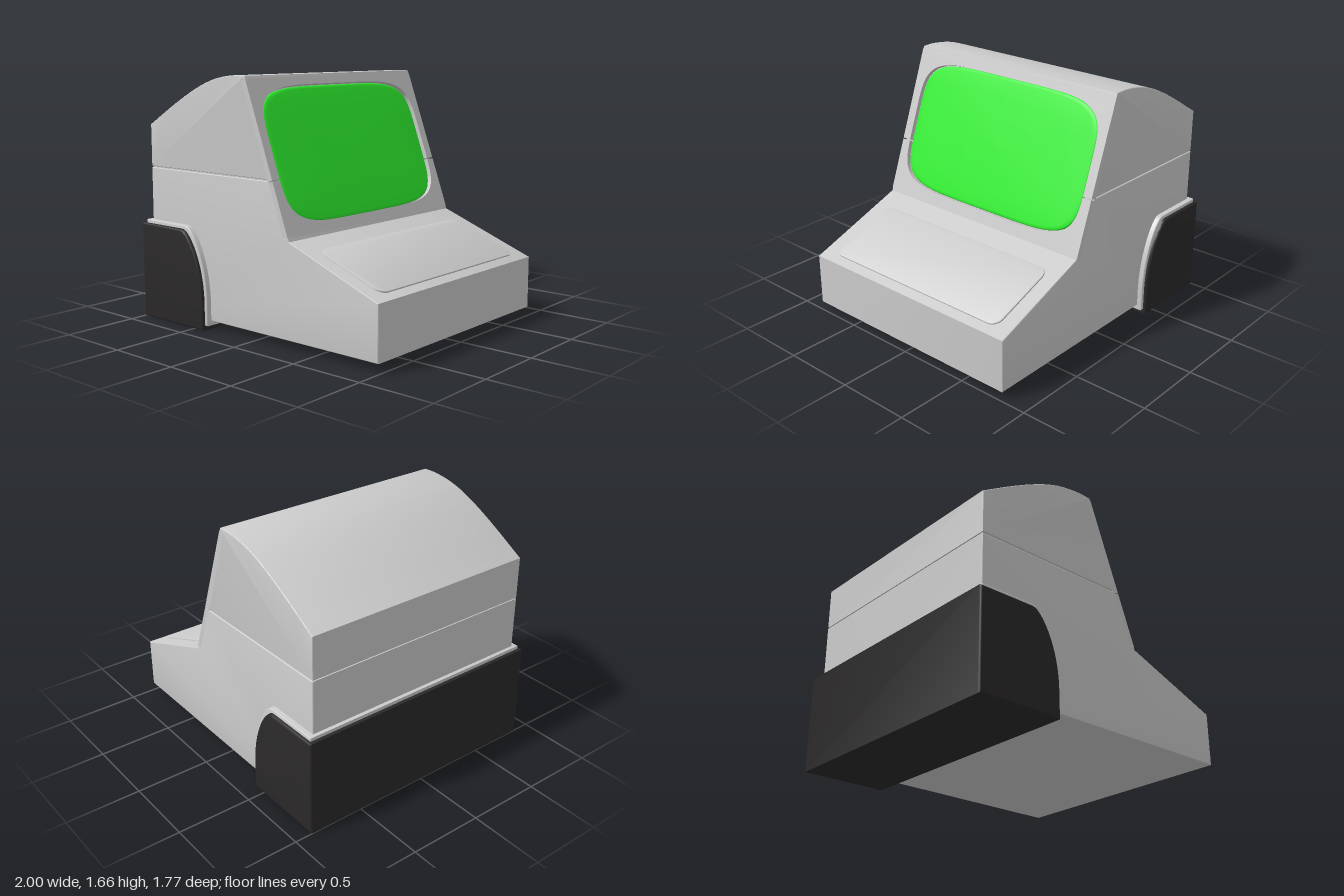
import * as THREE from 'three';
import { toCreasedNormals } from 'three/addons/utils/BufferGeometryUtils.js';

const grey = new THREE.MeshStandardMaterial({ color: 0xcccccc });
const black = new THREE.MeshStandardMaterial({ color: 0x2b2929 });
const green = new THREE.MeshStandardMaterial({ color: 0x2ef02e });

const HALF = 0.83; // half width of the housing
const GAP = 0.004; // half height of the seam
const SEAM = 1.03;
const RECESS = 0.032;
const frontX = (y) => 0.31 - (y - 0.672) * 0.366; // sloping screen face

function mesh(name, geometry, material) {
  const m = new THREE.Mesh(geometry, material);
  m.name = name;
  return m;
}

// Side profile extruded symmetrically across z with softened edges
function slab(name, shape, half, bevel, material) {
  const g = new THREE.ExtrudeGeometry(shape, {
    depth: 2 * (half - bevel), bevelEnabled: true, bevelSize: bevel, bevelThickness: bevel,
    bevelOffset: -bevel, bevelSegments: 3, curveSegments: 20,
  });
  g.translate(0, 0, -(half - bevel));
  return mesh(name, toCreasedNormals(g, 0.6), material);
}

const shapeOf = (pts) => new THREE.Shape(pts.map(([x, y]) => new THREE.Vector2(x, y)));

// Rounded screen outline
const SW = 0.765, SH = 0.447, POWER = 2 / 5;
function outline(t, s = 1) {
  const c = Math.cos(t), n = Math.sin(t);
  return [s * SW * Math.sign(c) * Math.abs(c) ** POWER, s * SH * Math.sign(n) * Math.abs(n) ** POWER];
}

// Bulged screen made of concentric rings
function screenGeometry() {
  const rings = [[0.99, -0.034], [0.988, -0.022], [0.975, -0.016], [0.94, -0.012], [0.7, -0.009], [0.35, -0.007], [0, -0.006]];
  const N = 96, pos = [], idx = [];
  rings.forEach(([s, z], r) => {
    for (let i = 0; i < N; i++) {
      pos.push(...outline((i / N) * Math.PI * 2, s), z);
      if (r === rings.length - 1) continue;
      const a = r * N + i, b = r * N + (i + 1) % N;
      idx.push(a, b, b + N, a, b + N, a + N);
    }
  });
  const g = new THREE.BufferGeometry();
  g.setAttribute('position', new THREE.Float32BufferAttribute(pos, 3));
  g.setIndex(idx);
  g.computeVertexNormals();
  return g;
}

// Half of the bezel, above or below the seam
function bezelHalf(name, seamV, endV, t0, t1) {
  const start = seamV + Math.sign(endV - seamV) * GAP;
  const dir = endV > seamV ? 1 : -1;
  const pts = [[-dir * HALF, start], [-dir * HALF, endV], [dir * HALF, endV], [dir * HALF, start]];
  for (let i = 0; i <= 60; i++) {
    const p = outline(t0 + ((t1 - t0) * i) / 60);
    if (i === 0 || i === 60) p[1] = start;
    pts.push(p);
  }
  const g = new THREE.ExtrudeGeometry(shapeOf(pts), { depth: 0.045, bevelEnabled: false });
  g.translate(0, 0, -0.045);
  return mesh(name, toCreasedNormals(g, 0.5), grey);
}

// Group whose local z points out of a slope running across the model
function slopeGroup(name, x, y, upX, upY) {
  const g = new THREE.Group();
  g.name = name;
  const up = new THREE.Vector3(upX, upY, 0).normalize();
  const side = new THREE.Vector3(0, 0, -1);
  g.setRotationFromMatrix(new THREE.Matrix4().makeBasis(side, up, side.clone().cross(up)));
  g.position.set(x, y, 0);
  return g;
}

function roundedRect(w, h, r) {
  const s = new THREE.Shape();
  s.absarc(w - r, h - r, r, 0, Math.PI / 2);
  s.absarc(-w + r, h - r, r, Math.PI / 2, Math.PI);
  s.absarc(-w + r, -h + r, r, Math.PI, Math.PI * 1.5);
  s.absarc(w - r, -h + r, r, Math.PI * 1.5, Math.PI * 2);
  return s;
}

// Rear bumper profile with a swept front corner
function bumperShape(back, bottom, grow) {
  const f = -0.41 + grow, t = 0.65 + grow;
  const s = new THREE.Shape();
  s.moveTo(back, bottom);
  s.lineTo(f, bottom);
  s.lineTo(f, 0.17);
  s.bezierCurveTo(f, 0.42, f - 0.1, t - 0.06, f - 0.17, t - 0.01);
  s.quadraticCurveTo(f - 0.185, t, f - 0.21, t);
  s.lineTo(back, t);
  return s;
}

export function createModel() {
  const model = new THREE.Group();
  model.name = 'desktopTerminal';

  // Lower housing with keyboard shelf, recessed behind the bezel
  const lo = SEAM - GAP, hi = SEAM + GAP;
  model.add(slab('lowerHousing', shapeOf([
    [-0.95, 0.06], [0.995, 0.06], [0.995, 0.41], [0.31, 0.672], [frontX(0.7), 0.7],
    [frontX(0.7) - RECESS, 0.7], [frontX(lo) - RECESS, lo], [-0.95, lo],
  ]), HALF, 0.006, grey));

  // Upper housing with curved roof
  const upper = shapeOf([
    [-0.95, hi], [frontX(hi) - RECESS, hi], [frontX(1.63) - RECESS, 1.63], [frontX(1.63), 1.63], [-0.05, 1.655],
  ]);
  upper.splineThru([[-0.15, 1.656], [-0.28, 1.639], [-0.4, 1.605], [-0.54, 1.545], [-0.72, 1.45], [-0.95, 1.315]]
    .map(([x, y]) => new THREE.Vector2(x, y)));
  model.add(slab('upperHousing', upper, HALF, 0.006, grey));

  // Core closing the seam
  const core = mesh('seamCore', new THREE.BoxGeometry(1.08, 0.04, 1.644), grey);
  core.position.set(-0.402, SEAM, 0);
  model.add(core);

  // Screen and its two-part bezel
  const display = slopeGroup('display', frontX(1.17), 1.17, -0.366, 1);
  const seamV = (SEAM - 1.17) / 0.939;
  const ts = -Math.asin((-seamV / SH) ** (1 / POWER));
  display.add(
    bezelHalf('upperBezel', seamV, 0.5, ts, Math.PI - ts),
    bezelHalf('lowerBezel', seamV, -0.511, Math.PI - ts, 2 * Math.PI + ts),
    mesh('screen', screenGeometry(), green),
  );
  model.add(display);

  // Raised keyboard panel
  const keys = slopeGroup('keyboard', 0.69, 0.525, -0.685, 0.262);
  const pad = new THREE.ExtrudeGeometry(roundedRect(0.727, 0.26, 0.07), {
    depth: 0.024, bevelEnabled: true, bevelSize: 0.004, bevelThickness: 0.004, bevelOffset: -0.004, bevelSegments: 2,
  });
  pad.translate(0, 0, -0.016);
  keys.add(mesh('keyboardPanel', toCreasedNormals(pad, 0.6), grey));
  model.add(keys);

  // Rear bumper and the lip between it and the housing
  model.add(slab('bumperLip', bumperShape(-0.975, 0.03, 0.022), 0.866, 0.008, grey));
  model.add(slab('rearBumper', bumperShape(-1, 0, 0), 0.887, 0.016, black));

  return model;
}
